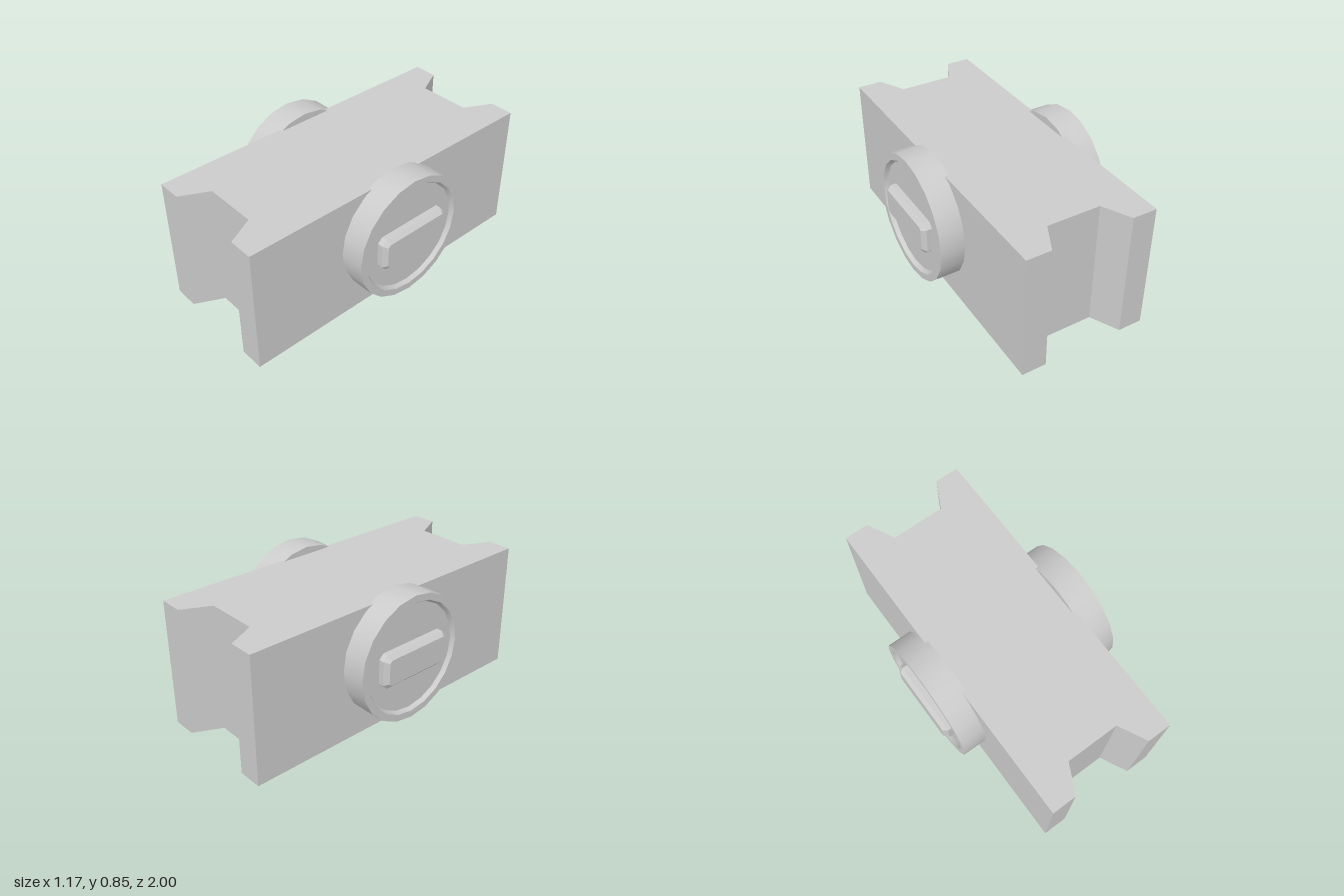
import * as THREE from 'three';
import { toCreasedNormals } from 'three/addons/utils/BufferGeometryUtils.js';

const material = new THREE.MeshStandardMaterial({ color: 0xcccccc });

function addMesh(parent, name, geometry) {
  const mesh = new THREE.Mesh(geometry, material);
  mesh.name = name;
  parent.add(mesh);
  return mesh;
}

function polygon(points) {
  return new THREE.Shape(points.map(([x, y]) => new THREE.Vector2(x, y)));
}

// Block with a tapered notch in each end, extruded upwards
function bodyGeometry() {
  const half = [[0.4, -1], [0.4, 1], [0.25, 1], [0.165, 0.83]];
  const outline = [...half, ...half.map(([x, y]) => [-x, y]).reverse()];
  // Close the far end with the second notch
  outline.splice(7, 1, [-0.4, -1], [-0.25, -1], [-0.165, -0.83], [0.165, -0.83], [0.25, -1]);
  return new THREE.ExtrudeGeometry(polygon(outline), { depth: 0.8, bevelEnabled: false })
    .rotateX(-Math.PI / 2);
}

// Round dial with a raised rim and a shallow recess, axis along x
function dialGeometry() {
  const profile = [[0, 0.38], [0.393, 0.38], [0.393, 0.55], [0.35, 0.55], [0.335, 0.525], [0, 0.525]]
    .map(([r, h]) => new THREE.Vector2(r, h));
  const lathe = new THREE.LatheGeometry(profile, 20).rotateZ(-Math.PI / 2);
  return toCreasedNormals(lathe, Math.PI / 6);
}

// Bar grip with chamfered corners and edges
function gripGeometry() {
  const w = 0.245, h = 0.105, c = 0.03, bevel = 0.025;
  const outline = polygon([
    [w, -h + c], [w, h - c], [w - c, h], [-w + c, h],
    [-w, h - c], [-w, -h + c], [-w + c, -h], [w - c, -h],
  ]);
  return new THREE.ExtrudeGeometry(outline, {
    depth: 0.06, bevelThickness: bevel, bevelSize: bevel, bevelOffset: -bevel, bevelSegments: 1,
  }).rotateY(Math.PI / 2).translate(0.5, 0, 0);
}

export function createModel() {
  const model = new THREE.Group();
  model.name = 'notchedBlock';
  addMesh(model, 'body', bodyGeometry());

  // One dial with its grip on each side
  const dial = dialGeometry();
  const grip = gripGeometry();
  for (const [name, turn] of [['leftKnob', 0], ['rightKnob', Math.PI]]) {
    const knob = new THREE.Group();
    knob.name = name;
    knob.position.y = 0.455;
    knob.rotation.y = turn;
    addMesh(knob, 'dial', dial);
    addMesh(knob, 'grip', grip);
    model.add(knob);
  }
  return model;
}
